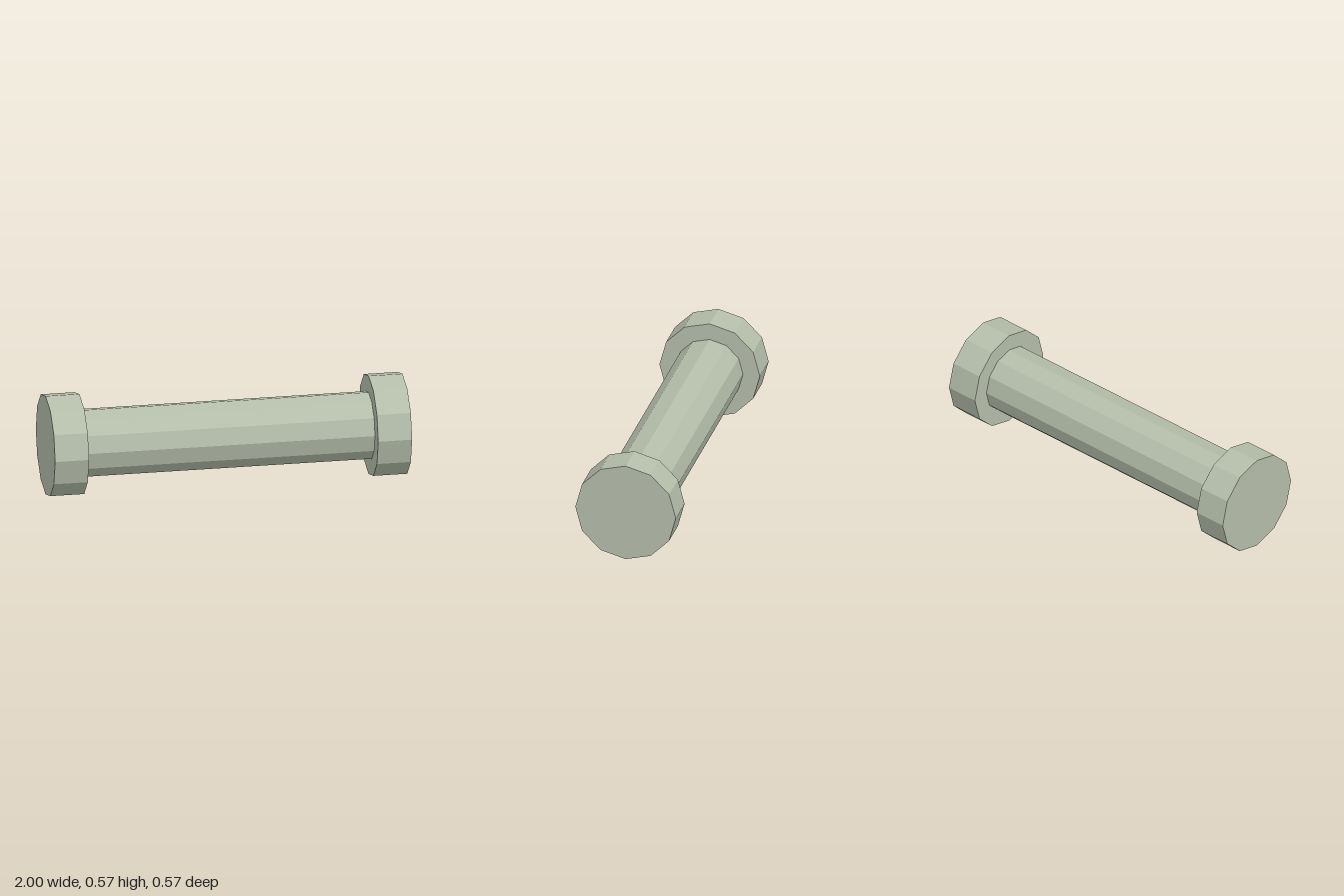
import * as THREE from 'three';

const SIDES = 12;
const CAP_RADIUS = 0.286;
const CAP_WIDTH = 0.19;
const SHAFT_RADIUS = 0.19;

export function createModel() {
  const model = new THREE.Group();
  model.name = 'dumbbell';

  const paint = new THREE.MeshStandardMaterial({ color: 0xb4bdaa, flatShading: true });
  paint.name = 'sage grey';

  // A faceted cylinder lying along x
  function addCylinder(name, radius, length, x, openEnded = false) {
    const geometry = new THREE.CylinderGeometry(radius, radius, length, SIDES, 1, openEnded);
    geometry.rotateZ(Math.PI / 2);
    const mesh = new THREE.Mesh(geometry, paint);
    mesh.name = name;
    mesh.position.set(x, CAP_RADIUS, 0);
    model.add(mesh);
  }

  // Shaft between the two end caps
  addCylinder('shaft', SHAFT_RADIUS, 2 - 2 * CAP_WIDTH, 0, true);

  // Wider end caps
  for (const [name, side] of [['leftCap', 1], ['rightCap', -1]]) {
    addCylinder(name, CAP_RADIUS, CAP_WIDTH, side * (1 - CAP_WIDTH / 2));
  }

  return model;
}
